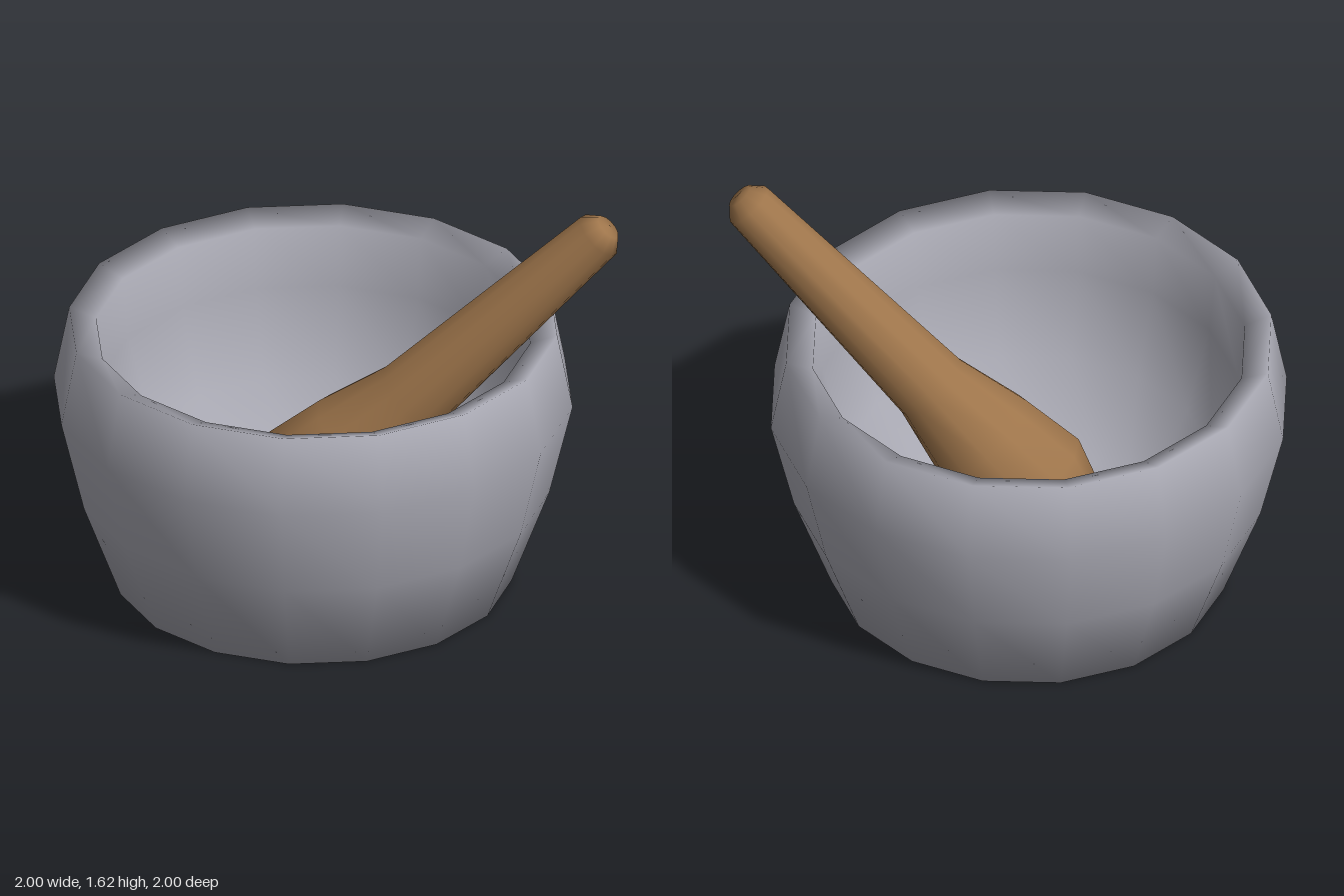
import * as THREE from 'three';

// Smooth turned solid from [radius, height] pairs, listed bottom to top on the outside
function turned(name, profile, sides, phiStart, material) {
  const points = profile.map(([r, y]) => new THREE.Vector2(r, y));
  const mesh = new THREE.Mesh(new THREE.LatheGeometry(points, sides, phiStart), material);
  mesh.name = name;
  return mesh;
}

export function createModel() {
  const stone = new THREE.MeshStandardMaterial({ color: 0xa9a9b3 });
  stone.name = 'grey stone';
  const wood = new THREE.MeshStandardMaterial({ color: 0x9e754b });
  wood.name = 'brown wood';

  const model = new THREE.Group();
  model.name = 'mortarAndPestle';

  // Mortar: base, bulging wall, rolled rim, then the hollow
  model.add(turned('mortar', [
    [0, 0], [0.773, 0], [0.92, 0.4], [1.01, 0.78], [0.95, 1.09],
    [0.845, 1.05], [0.82, 0.8], [0.72, 0.45], [0.45, 0.2], [0, 0.15],
  ], 16, -0.147, stone));

  // Pestle: bulbous head, tapering handle, rounded end
  const pestle = turned('pestle', [
    [0, -0.27], [0.11, -0.25], [0.21, -0.15], [0.262, 0], [0.225, 0.26],
    [0.155, 0.56], [0.1, 1.607], [0.055, 1.66], [0, 1.665],
  ], 12, 0, wood);
  const axis = new THREE.Vector3(0.895, 1.16, -0.66).normalize();
  pestle.quaternion.setFromUnitVectors(new THREE.Vector3(0, 1, 0), axis);
  pestle.position.set(0, 0.385, 0);
  model.add(pestle);

  return model;
}
